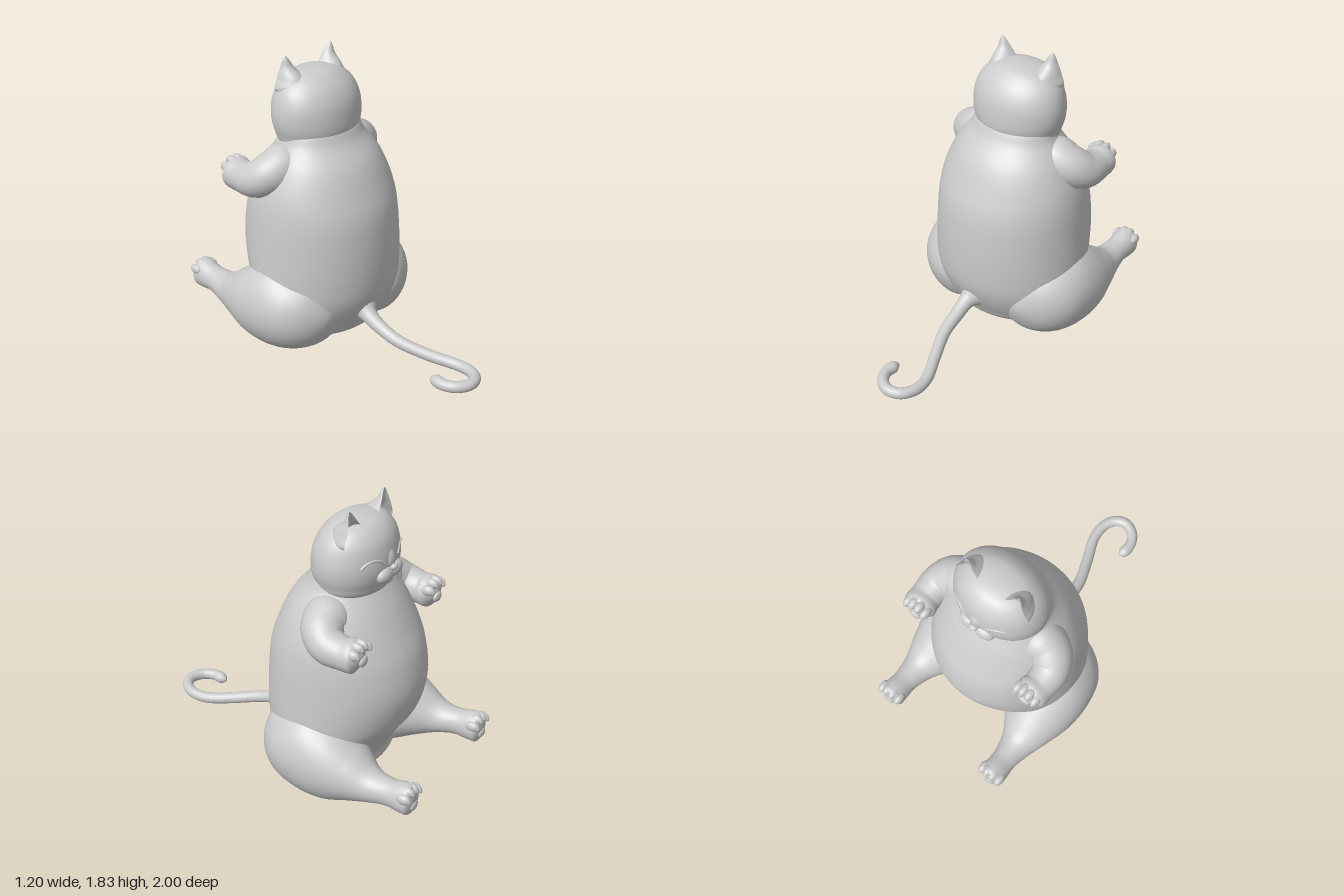
import * as THREE from 'three';
import { mergeVertices } from 'three/addons/utils/BufferGeometryUtils.js';

const material = new THREE.MeshStandardMaterial({ color: 0xcccccc });

// Smoothly resample rows of [x, y, z, radii...]; both end rows are rounded poles with zero radii.
function resample(rows, steps) {
  const ghost = row => row.map((v, k) => (k < 3 ? v : -v));
  const n = rows.length;
  const p = [ghost(rows[1]), ...rows, ghost(rows[n - 2])];
  const out = [];
  for (let i = 0; i <= (n - 1) * steps; i++) {
    const s = Math.min(Math.floor(i / steps), n - 2), t = i / steps - s;
    out.push(rows[0].map((_, k) => {
      const a = p[s][k], b = p[s + 1][k], c = p[s + 2][k], d = p[s + 3][k];
      return b + 0.5 * t * (c - a + t * (2 * a - 5 * b + 4 * c - d + t * (3 * (b - c) + d - a)));
    }));
  }
  return out;
}

// Skin a list of rings, each a function of the angle.
function skin(rings, sides) {
  const pos = [], index = [];
  rings.forEach((ring, i) => {
    for (let j = 0; j < sides; j++) {
      pos.push(...ring(j / sides * Math.PI * 2));
      if (i === rings.length - 1) continue;
      const a = i * sides + j, b = i * sides + (j + 1) % sides;
      index.push(a, a + sides, b, b, a + sides, b + sides);
    }
  });
  let geo = new THREE.BufferGeometry();
  geo.setAttribute('position', new THREE.Float32BufferAttribute(pos, 3));
  geo.setIndex(index);
  geo = mergeVertices(geo, 1e-5);
  geo.computeVertexNormals();
  return geo;
}

// Rows [x, y, z, side radius, radius on minus side, radius on plus side], stacked up y or along -z.
function loft(rows, axis, sides = 48) {
  return skin(resample(rows, 8).map(([x, y, z, r, minus, plus]) => t => {
    const c = x + r * Math.cos(t), s = Math.sin(t), h = s * (s < 0 ? minus : plus);
    return axis === 'y' ? [c, y, z + h] : [c, y + h, z];
  }), sides);
}

// Rows [x, y, z, radius] swept as a round limb; ref is never parallel to the path.
function sweep(rows, ref, sides = 28) {
  const pts = resample(rows, 8), at = i => new THREE.Vector3(...pts[i].slice(0, 3));
  return skin(pts.map((row, i) => {
    const T = at(Math.min(i + 1, pts.length - 1)).sub(at(Math.max(i - 1, 0))).normalize();
    const N = ref.clone().addScaledVector(T, -ref.dot(T)).normalize();
    const B = T.clone().cross(N);
    return t => at(i).addScaledVector(N, row[3] * Math.cos(t))
      .addScaledVector(B, -row[3] * Math.sin(t)).toArray();
  }), sides);
}

function ball(x, y, z, rx, ry, rz) {
  return new THREE.SphereGeometry(1, 24, 16).scale(rx, ry, rz).translate(x, y, z);
}

function mirrored(geo) {
  const g = geo.clone().scale(-1, 1, 1);
  g.index.array.reverse();
  return g;
}

export function createModel() {
  const model = new THREE.Group();
  model.name = 'sittingCat';
  const add = (name, geo) => {
    const mesh = new THREE.Mesh(geo, material);
    mesh.name = name;
    model.add(mesh);
    return mesh;
  };
  // The side at +x first, then its mirror image.
  const pair = (name, geo) => {
    add(name + 'PlusX', geo);
    add(name + 'MinusX', mirrored(geo));
  };

  // Pear-shaped body with the belly towards -z
  const body = [
    [0.05, 0, 0, 0], [0.1, 0.34, -0.5, 0.03], [0.2, 0.44, -0.53, 0.115], [0.35, 0.485, -0.61, 0.18],
    [0.5, 0.49, -0.7, 0.2], [0.7, 0.48, -0.745, 0.2], [0.9, 0.465, -0.715, 0.18],
    [1.05, 0.435, -0.65, 0.13], [1.2, 0.37, -0.57, 0.06], [1.32, 0.285, -0.49, -0.035],
    [1.42, 0.22, -0.42, -0.1], [1.5, 0, 0, 0],
  ].map(([y, r, front, back]) => [0, y, -0.25, r, r && -0.25 - front, r && back + 0.25]);
  add('body', loft(body, 'y', 64));

  // Head
  const head = add('head', loft([
    [0, 1.24, -0.3, 0, 0, 0], [0, 1.3, -0.3, 0.23, 0.18, 0.19], [0, 1.38, -0.3, 0.28, 0.225, 0.228],
    [0, 1.47, -0.3, 0.296, 0.242, 0.23], [0, 1.56, -0.3, 0.285, 0.235, 0.215],
    [0, 1.64, -0.31, 0.25, 0.2, 0.185], [0, 1.7, -0.32, 0.185, 0.14, 0.135],
    [0, 1.727, -0.32, 0.1, 0.08, 0.08], [0, 1.735, -0.32, 0, 0, 0],
  ], 'y', 64));

  // Ears, cupped towards the face
  pair('ear', loft([
    [0.15, 1.6, -0.38, 0, 0, 0], [0.15, 1.63, -0.385, 0.1, -0.02, 0.14],
    [0.157, 1.7, -0.39, 0.075, -0.045, 0.125], [0.167, 1.76, -0.385, 0.043, -0.025, 0.055],
    [0.177, 1.81, -0.375, 0.018, -0.006, 0.02], [0.181, 1.83, -0.37, 0, 0, 0],
  ], 'y', 32));

  // Muzzle, nose and chin
  pair('muzzle', ball(0.05, 1.43, -0.525, 0.07, 0.05, 0.043));
  add('noseBridge', ball(0, 1.5, -0.5, 0.055, 0.085, 0.055));
  add('nose', ball(0, 1.468, -0.555, 0.027, 0.019, 0.022));
  add('chin', ball(0, 1.385, -0.505, 0.055, 0.04, 0.04));

  // Closed eyes, laid on the face
  head.updateMatrixWorld();
  const onFace = ([x, y]) => new THREE.Raycaster(
    new THREE.Vector3(x, y, -2), new THREE.Vector3(0, 0, 1)).intersectObject(head)[0].point;
  const lid = [[0.07, 1.51], [0.1, 1.535], [0.14, 1.548], [0.18, 1.54], [0.21, 1.515]].map(onFace);
  pair('closedEye', new THREE.TubeGeometry(new THREE.CatmullRomCurve3(lid), 24, 0.008, 8));

  // Arms, bent at the elbow and reaching forward
  pair('arm', sweep([
    [0.12, 1.2, -0.3, 0], [0.24, 1.2, -0.3, 0.125], [0.35, 1.165, -0.315, 0.127],
    [0.415, 1.115, -0.39, 0.113], [0.425, 1.1, -0.5, 0.097], [0.415, 1.105, -0.58, 0.094],
    [0.41, 1.105, -0.625, 0],
  ], new THREE.Vector3(0.76, 0.65, 0)));

  // Thigh, shin and foot
  pair('leg', loft([
    [0.28, 0.3, 0.1, 0, 0, 0], [0.28, 0.3, 0.04, 0.17, 0.17, 0.17], [0.31, 0.3, -0.08, 0.25, 0.255, 0.25],
    [0.33, 0.3, -0.25, 0.27, 0.298, 0.3], [0.35, 0.28, -0.42, 0.243, 0.262, 0.26],
    [0.38, 0.26, -0.58, 0.17, 0.172, 0.165], [0.4, 0.24, -0.7, 0.11, 0.105, 0.105],
    [0.407, 0.25, -0.82, 0.08, 0.085, 0.085], [0.41, 0.255, -0.92, 0.082, 0.095, 0.105],
    [0.41, 0.255, -0.97, 0.075, 0.085, 0.095], [0.41, 0.255, -0.99, 0, 0, 0],
  ], 'z'));

  // Toes with their pads, and the large pad, on every paw
  const paw = (name, x, y, z, drop) => {
    [-1.5, -0.5, 0.5, 1.5].forEach((k, i) => {
      const tx = x + k * 0.042, ty = y + 0.062 - k * k * 0.014;
      pair(`${name}Toe${i + 1}`, ball(tx, ty, z + 0.04, 0.027, 0.032, 0.045));
      pair(`${name}ToePad${i + 1}`, ball(tx, ty - 0.006, z + 0.004, 0.014, 0.017, 0.012));
    });
    pair(name + 'Pad', ball(x, y - drop, z + 0.008, 0.04, 0.032, 0.018));
  };
  paw('hand', 0.41, 1.115, -0.63, 0.03);
  paw('foot', 0.41, 0.27, -0.99, 0.04);

  // Tail, hooked at the tip
  add('tail', sweep([
    [0, 0.3, 0.04, 0], [-0.015, 0.29, 0.1, 0.085], [-0.035, 0.255, 0.18, 0.052], [-0.035, 0.21, 0.28, 0.043],
    [-0.02, 0.165, 0.42, 0.038], [0.05, 0.12, 0.6, 0.036], [0.11, 0.1, 0.74, 0.035],
    [0.12, 0.1, 0.85, 0.035], [0.08, 0.105, 0.935, 0.035], [0.005, 0.11, 0.965, 0.035],
    [-0.07, 0.11, 0.93, 0.035], [-0.108, 0.11, 0.86, 0.035], [-0.105, 0.11, 0.79, 0.035],
    [-0.095, 0.11, 0.755, 0],
  ], new THREE.Vector3(0, 1, 0), 20));

  return model;
}
